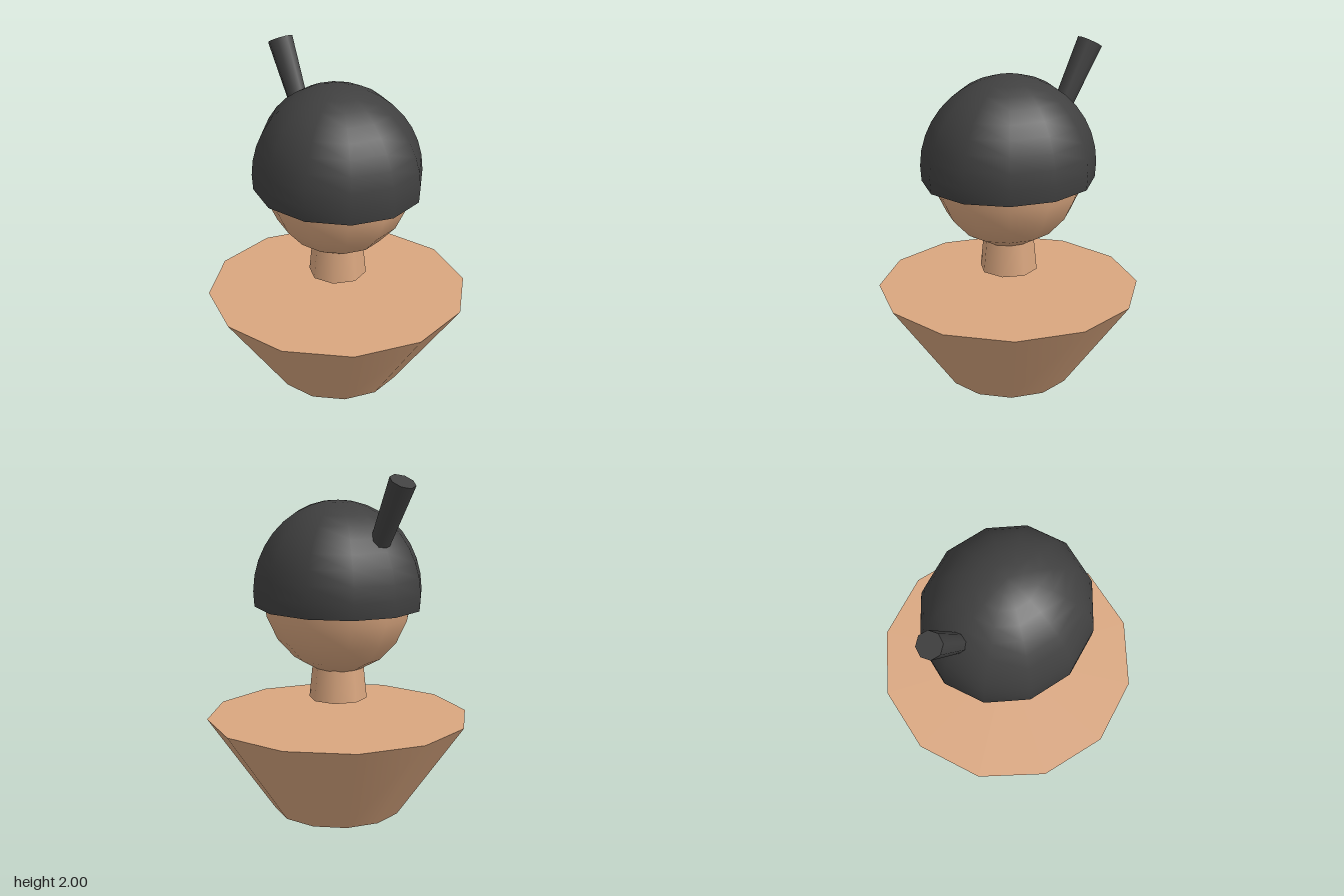
import * as THREE from 'three';

const skin = new THREE.MeshStandardMaterial({ color: 0xd9a67f });
skin.name = 'skin';
const hairColor = new THREE.MeshStandardMaterial({ color: 0x404040, side: THREE.DoubleSide });
hairColor.name = 'charcoal hair';

function part(name, geometry, material, y, z = 0) {
  const mesh = new THREE.Mesh(geometry, material);
  mesh.name = name;
  mesh.position.set(0, y, z);
  return mesh;
}

export function createModel() {
  const model = new THREE.Group();
  model.name = 'bust';

  // Tapered torso and a short neck floating above it
  const torso = part('torso', new THREE.CylinderGeometry(0.77, 0.375, 0.565, 12), skin, 0.2825);
  const neck = part('neck', new THREE.CylinderGeometry(0.147, 0.17, 0.23, 8), skin, 0.79);

  // Egg-shaped head
  const head = part('head', new THREE.SphereGeometry(1, 12, 10), skin, 1.312);
  head.scale.set(0.43, 0.48, 0.453);

  // Open cap of hair reaching just below the middle of the head
  const cap = new THREE.SphereGeometry(1, 12, 10, 0, Math.PI * 2, 0, Math.PI * 0.55);
  const hair = part('hairCap', cap, hairColor, 1.305);
  hair.scale.set(0.48, 0.525, 0.515);

  // Flared ponytail leaning backwards, its root inside the cap
  const tail = part('ponytail', new THREE.CylinderGeometry(0.075, 0.053, 0.45, 8), hairColor, 1.762, -0.452);
  tail.rotation.x = -0.49;

  model.add(torso, neck, head, hair, tail);
  return model;
}
